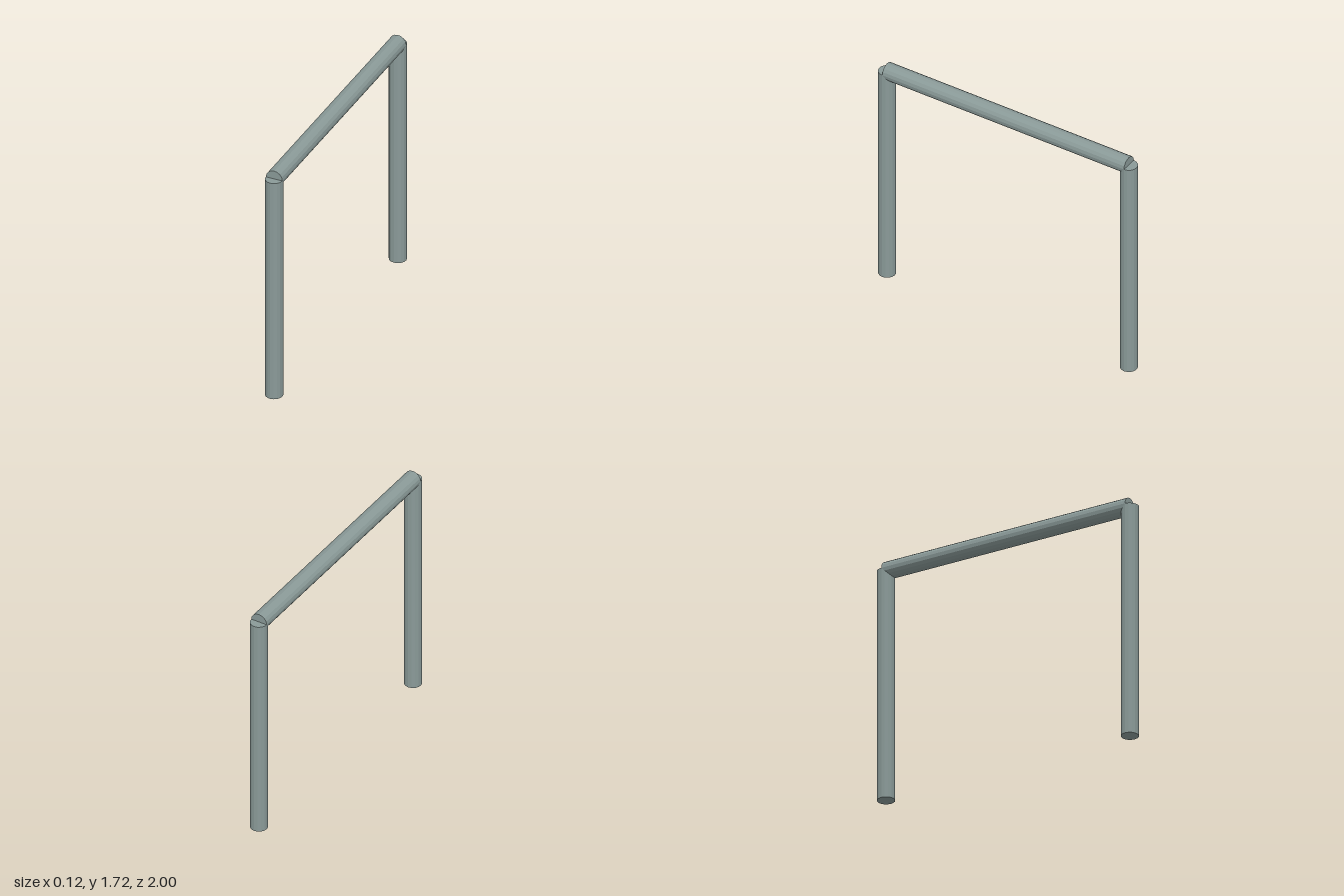
import * as THREE from 'three';

const RADIUS = 0.06, HEIGHT = 1.655, HALF_SPAN = 0.94, SIDES = 16;

export function createModel() {
  const model = new THREE.Group();
  model.name = 'barFrame';

  const greyMetal = new THREE.MeshStandardMaterial({ color: 0x8a9a98, flatShading: true });
  greyMetal.name = 'greyMetal';

  const addBar = (name, length) => {
    const bar = new THREE.Mesh(new THREE.CylinderGeometry(RADIUS, RADIUS, length, SIDES), greyMetal);
    bar.name = name;
    model.add(bar);
    return bar;
  };

  // Upright posts at the front and back
  for (const [name, side] of [['frontPost', 1], ['backPost', -1]]) {
    addBar(name, HEIGHT).position.set(0, HEIGHT / 2, side * HALF_SPAN);
  }

  // Horizontal rail centred on the tops of the posts
  const rail = addBar('topRail', HALF_SPAN * 2);
  rail.rotation.x = Math.PI / 2;
  rail.position.y = HEIGHT;

  return model;
}
